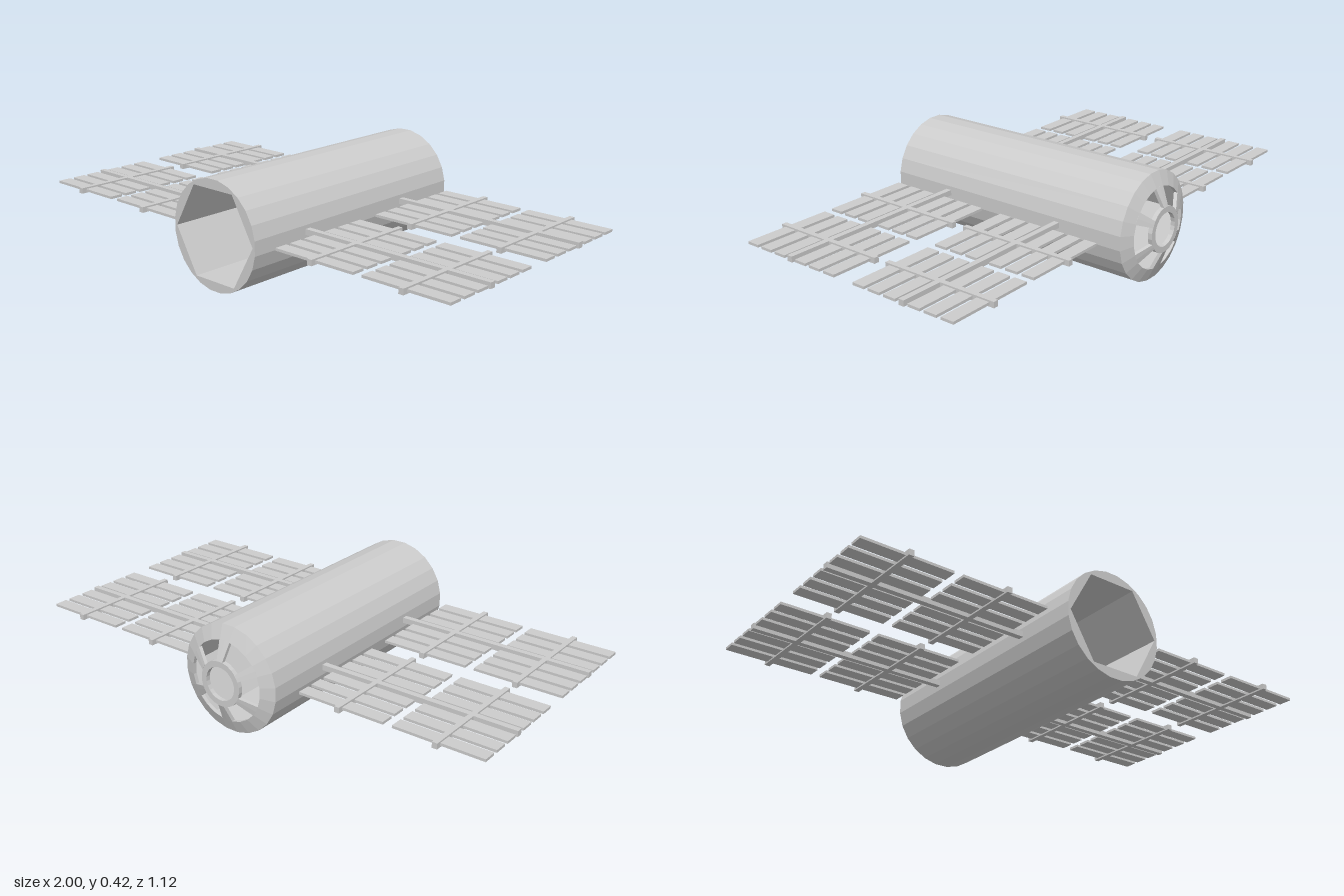
import * as THREE from 'three';

const material = new THREE.MeshStandardMaterial({ color: 0xcccccc, flatShading: true });
const AXIS_Y = 0.208;

function addMesh(parent, name, geometry, x = 0, y = 0, z = 0) {
  const mesh = new THREE.Mesh(geometry, material);
  mesh.name = name;
  mesh.position.set(x, y, z);
  parent.add(mesh);
  return mesh;
}

// Regular polygon outline, optionally turned by a start angle
function polygon(radius, sides, start = 0) {
  return Array.from({ length: sides }, (_, i) => {
    const a = start + (i / sides) * Math.PI * 2;
    return new THREE.Vector2(Math.cos(a) * radius, Math.sin(a) * radius);
  });
}

// Closed ring around the body axis; profile is [radius, distance towards the back]
function ring(profile) {
  const points = [...profile, profile[0]].map(([r, h]) => new THREE.Vector2(r, h));
  return new THREE.LatheGeometry(points, 24, Math.PI / 24).rotateX(-Math.PI / 2);
}

// Height of the conical end surface at a given radius
const coneZ = (r) => -0.56 + ((r - 0.088) / (0.21 - 0.088)) * 0.053;

// Wedge-shaped strut lying along the cone
function strutGeometry() {
  const geometry = new THREE.BoxGeometry(1, 1, 1, 2, 1, 1);
  const p = geometry.attributes.position;
  for (let i = 0; i < p.count; i++) {
    const angle = p.getX(i) * 2 * THREE.MathUtils.degToRad(8.5);
    const r = 0.087 + (p.getY(i) + 0.5) * 0.071;
    const depth = (p.getZ(i) + 0.5) * 0.015;
    p.setXYZ(i, r * Math.sin(angle), r * Math.cos(angle), coneZ(r) + depth);
  }
  geometry.computeVertexNormals();
  return geometry;
}

// One wing: a spine with two slatted panels, reaching out along side * x
function createWing(side, z) {
  const wing = new THREE.Group();
  wing.name = side > 0 ? 'leftWing' : 'rightWing';
  wing.position.set(0, AXIS_Y + 0.002, z);
  addMesh(wing, 'spine', new THREE.BoxGeometry(0.797, 0.022, 0.023), side * 0.6015);
  for (const x of [0.439, 0.825]) {
    addMesh(wing, 'crossRod', new THREE.BoxGeometry(0.02, 0.022, 0.475), side * x);
    for (const offset of [0.053, 0.123, 0.193]) {
      for (const s of [-1, 1]) {
        addMesh(wing, 'slat', new THREE.BoxGeometry(0.35, 0.01, 0.052), side * x, 0, s * offset);
      }
    }
  }
  return wing;
}

export function createModel() {
  const model = new THREE.Group();
  model.name = 'spaceStationModule';

  // Round hull with a hexagonal bore
  const outline = new THREE.Shape(polygon(0.21, 24, Math.PI / 24));
  outline.holes.push(new THREE.Path(polygon(0.198, 6).reverse()));
  const hull = new THREE.ExtrudeGeometry(outline, { depth: 1.069, bevelEnabled: false });
  addMesh(model, 'hull', hull, 0, AXIS_Y, -0.507);

  // Conical window frame closing the back
  const cap = new THREE.Group();
  cap.name = 'windowCap';
  cap.position.y = AXIS_Y;
  model.add(cap);
  addMesh(cap, 'outerBand', ring([[0.21, 0.507], [0.157, 0.53], [0.157, 0.515], [0.175, 0.507]]));
  addMesh(cap, 'innerRing', ring([[0.088, 0.543], [0.088, 0.56], [0.065, 0.56], [0.065, 0.543]]));
  for (let i = 0; i < 6; i++) {
    addMesh(cap, 'strut', strutGeometry()).rotation.z = (i * Math.PI) / 3;
  }

  // Two pairs of wings
  for (const z of [0.299, -0.228]) {
    for (const side of [-1, 1]) model.add(createWing(side, z));
  }
  return model;
}
